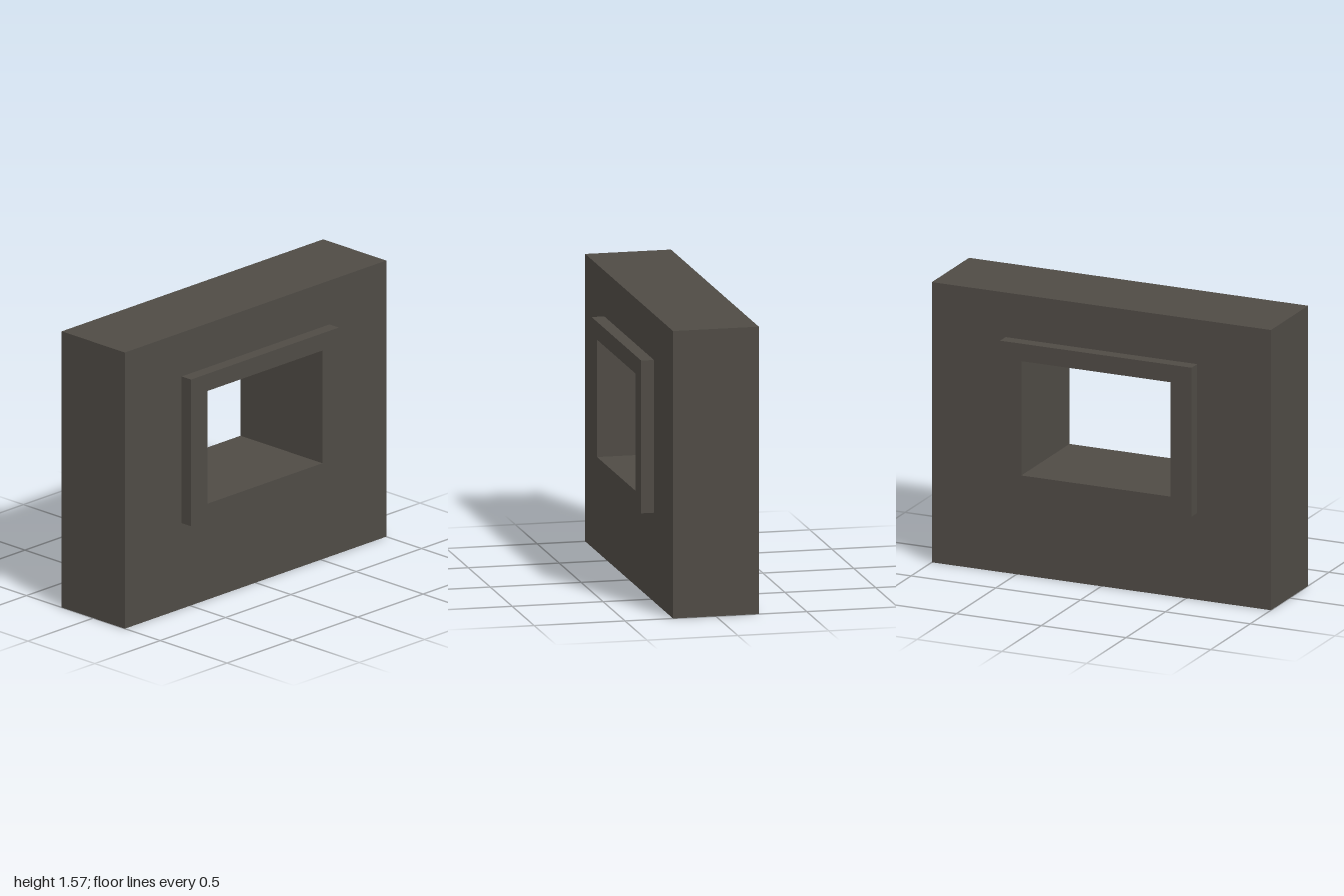
import * as THREE from 'three';

const HOLE = { halfWidth: 0.44, bottom: 0.583, top: 1.225 };

// Rectangle path in the z-y plane
function rectangle(path, { halfWidth, bottom, top }) {
  path.moveTo(-halfWidth, bottom);
  path.lineTo(halfWidth, bottom);
  path.lineTo(halfWidth, top);
  path.lineTo(-halfWidth, top);
  path.closePath();
  return path;
}

// Slab pierced by the window opening, extruded along x and centred on the given x
function piercedSlab(name, outline, thickness, x, material) {
  const shape = rectangle(new THREE.Shape(), outline);
  shape.holes.push(rectangle(new THREE.Path(), HOLE));
  const geometry = new THREE.ExtrudeGeometry(shape, { depth: thickness, bevelEnabled: false });
  geometry.translate(0, 0, -thickness / 2);
  geometry.rotateY(Math.PI / 2);
  const mesh = new THREE.Mesh(geometry, material);
  mesh.name = name;
  mesh.position.x = x;
  return mesh;
}

export function createModel() {
  const model = new THREE.Group();
  model.name = 'wallWithWindow';
  const stone = new THREE.MeshStandardMaterial({ color: 0x4f4b45 });
  stone.name = 'dark stone';

  // Thick wall block with the opening
  const wallHalf = 0.236;
  model.add(piercedSlab('wall', { halfWidth: 1, bottom: 0, top: 1.573 }, wallHalf * 2, 0, stone));

  // Raised frame around the opening on both faces
  const frameDepth = 0.07;
  for (const side of [1, -1]) {
    model.add(piercedSlab(
      side > 0 ? 'leftWindowFrame' : 'rightWindowFrame',
      { halfWidth: 0.565, bottom: 0.487, top: 1.323 },
      frameDepth, side * (wallHalf + frameDepth / 2), stone));
  }
  return model;
}
